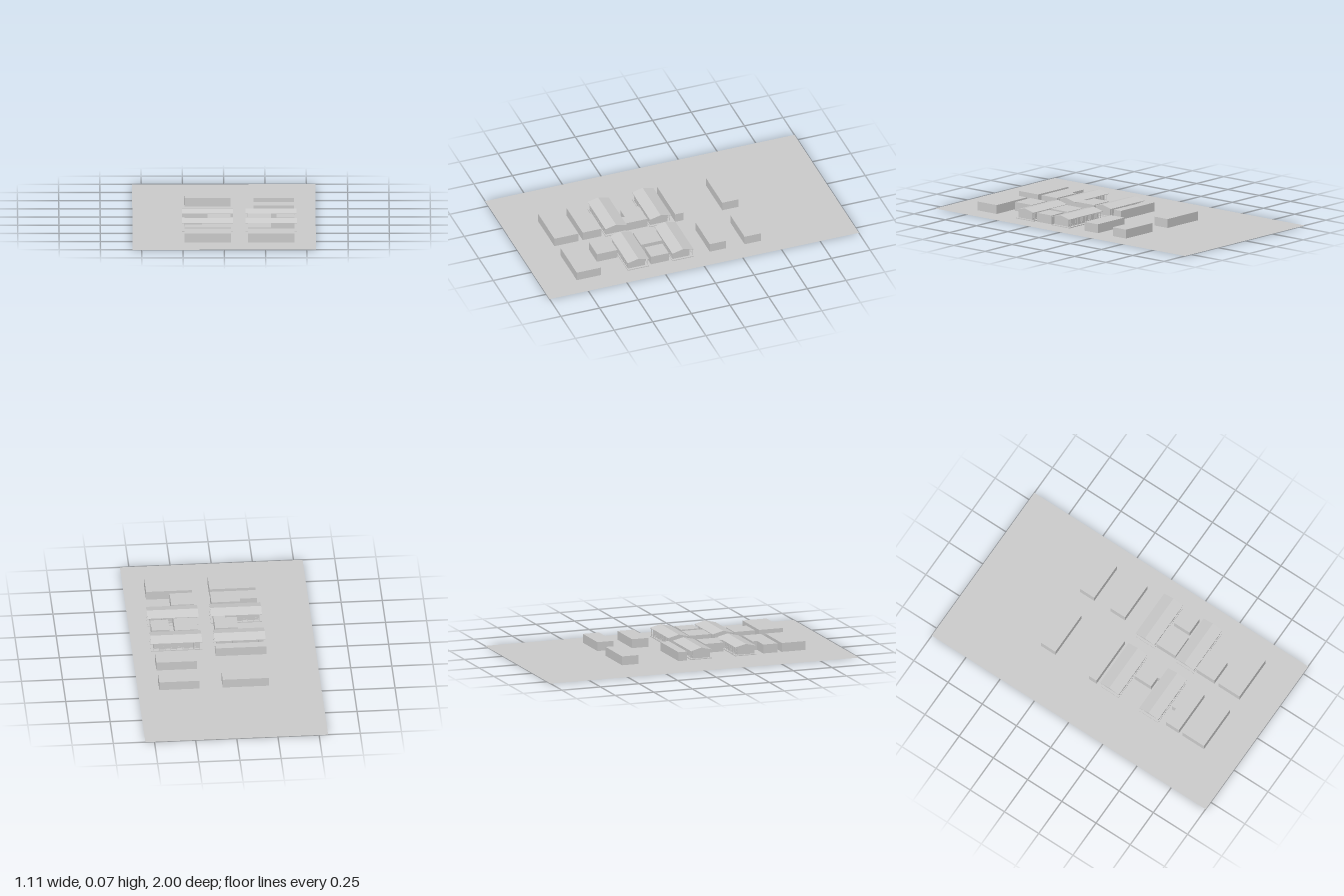
import * as THREE from 'three';

const material = new THREE.MeshStandardMaterial({ color: 0xcccccc, flatShading: true, side: THREE.DoubleSide });
const HEIGHT = 0.055;

function add(parent, name, geometry) {
  const mesh = new THREE.Mesh(geometry, material);
  mesh.name = name;
  parent.add(mesh);
  return mesh;
}

// Box given by its limits on each axis
function block(parent, name, x0, x1, y0, y1, z0, z1) {
  const geometry = new THREE.BoxGeometry(x1 - x0, y1 - y0, z1 - z0);
  geometry.translate((x0 + x1) / 2, (y0 + y1) / 2, (z0 + z1) / 2);
  return add(parent, name, geometry);
}

// Flat-roofed block with a ground plan of [x, z] corners
function planBlock(parent, name, plan) {
  const shape = new THREE.Shape(plan.map(([x, z]) => new THREE.Vector2(x, -z)));
  const geometry = new THREE.ExtrudeGeometry(shape, { depth: HEIGHT, bevelEnabled: false });
  geometry.rotateX(-Math.PI / 2);
  return add(parent, name, geometry);
}

// Cross-section of [z, y] points drawn out along x
function section(parent, name, points, x0, x1) {
  const shape = new THREE.Shape(points.map(([z, y]) => new THREE.Vector2(-z, y)));
  const geometry = new THREE.ExtrudeGeometry(shape, { depth: x1 - x0, bevelEnabled: false });
  geometry.rotateY(Math.PI / 2);
  geometry.translate(x0, 0, 0);
  return add(parent, name, geometry);
}

// Gabled pavilion with a veranda along the back and windows along the front
function pavilion() {
  const group = new THREE.Group();
  const half = 0.155, wall = 0.14, depth = 0.0685;
  const front = 0.062, back = -0.049;
  const eave = HEIGHT, ridge = 0.072, thick = 0.003;
  const underside = z => ridge - thick - (ridge - eave) * Math.abs(z) / depth;

  block(group, 'base', -half, half, 0, 0.005, -depth, depth);
  section(group, 'walls', [
    [back, 0.004], [front, 0.004], [front, underside(front)],
    [0, underside(0)], [back, underside(back)],
  ], -wall, wall);
  section(group, 'roof', [
    [-depth, eave - thick], [0, ridge - thick], [depth, eave - thick],
    [depth, eave], [0, ridge], [-depth, eave],
  ], -half, half);

  // Doors and windows alternate along both long walls
  const bays = 8, step = 2 * wall / bays;
  for (let i = 0; i < bays; i++) {
    const x = -wall + (i + 0.5) * step;
    const door = i % 4 === 1;
    const low = door ? 0.005 : 0.02;
    for (const [z, side] of [[front, 1], [back, -1]]) {
      const z0 = Math.min(z, z + side * 0.002), z1 = z0 + 0.002;
      for (const s of [-1, 1]) {
        const edge = x + s * 0.01;
        block(group, 'windowJamb', edge - 0.001, edge + 0.001, low, 0.042, z0, z1);
      }
      block(group, 'windowHead', x - 0.011, x + 0.011, 0.041, 0.043, z0, z1);
      if (!door) block(group, 'windowSill', x - 0.011, x + 0.011, 0.018, 0.02, z0, z1);
    }
  }

  // Veranda posts and railings
  for (let i = 0; i <= bays; i++) {
    const x = -wall + i * step;
    block(group, 'verandaPost', x - 0.0015, x + 0.0015, 0.005, 0.053, -0.066, -0.063);
    if (i < bays && i % 4 !== 1) {
      for (const y of [0.012, 0.019]) {
        block(group, 'railing', x, x + step, y, y + 0.0015, -0.0652, -0.0638);
      }
    }
  }
  return group;
}

export function createModel() {
  const model = new THREE.Group();

  // Ground sheet
  const ground = new THREE.PlaneGeometry(1.11, 2);
  ground.rotateX(-Math.PI / 2);
  add(model, 'ground', ground);

  // Plain blocks: x0, x1, z0, z1
  const blocks = [
    [-0.24, 0.04, -0.415, -0.31],
    [0.18, 0.425, -0.415, -0.31],
    [0.18, 0.425, -0.19, -0.085],
    [-0.255, 0.055, -0.055, 0],
    [0.145, 0.285, 0.17, 0.307],
    [0.317, 0.425, 0.18, 0.295],
    [0.145, 0.285, 0.46, 0.592],
    [-0.24, 0.04, 0.62, 0.775],
    [0.145, 0.425, 0.62, 0.775],
  ];
  for (const [x0, x1, z0, z1] of blocks) block(model, 'plainBlock', x0, x1, 0, HEIGHT, z0, z1);

  // L-shaped blocks
  planBlock(model, 'linkBlock', [
    [-0.1, 0.175], [0.04, 0.175], [0.04, 0.335], [-0.03, 0.335], [-0.03, 0.295], [-0.1, 0.295],
  ]);
  planBlock(model, 'notchedBlock', [
    [-0.24, 0.5], [-0.135, 0.5], [-0.135, 0.47], [0.04, 0.47], [0.04, 0.592], [-0.24, 0.592],
  ]);

  // Four pavilions in two rows
  for (const x of [-0.1, 0.285]) {
    for (const z of [0.094, 0.382]) {
      const building = pavilion();
      building.name = 'pavilion';
      building.position.set(x, 0, z);
      model.add(building);
    }
  }
  return model;
}
